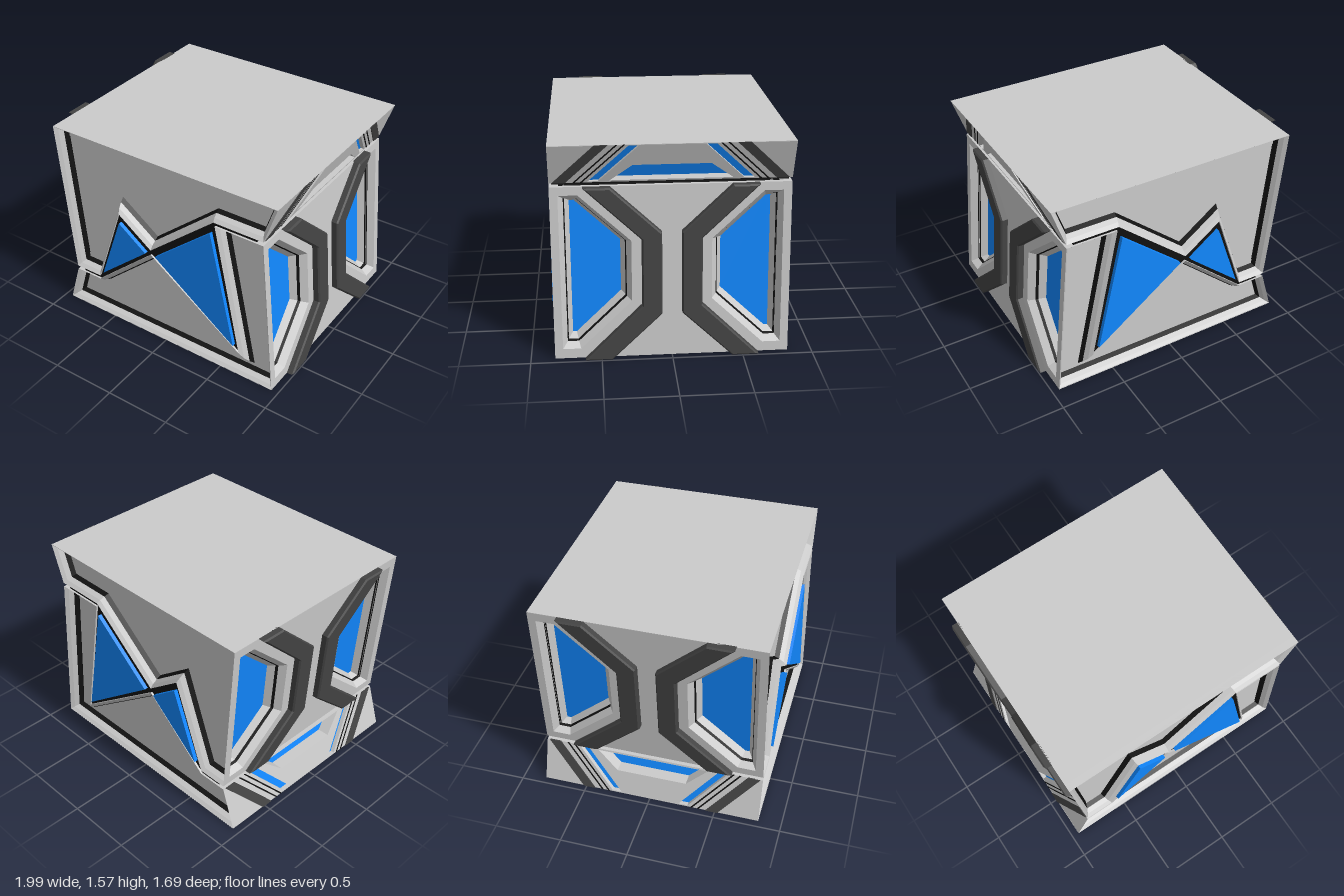
import * as THREE from 'three';

const material = (color) => new THREE.MeshStandardMaterial({ color, flatShading: true, side: THREE.DoubleSide });
const grey = material(0xcccccc);
const dark = material(0x444444);
const black = material(0x111111);
const blue = material(0x1188ff);

const HALF_DEPTH = 0.83, TOP = 1.57;

// Shift every edge of a counter-clockwise outline inwards, with mitred corners
function inset(poly, d) {
  const n = poly.length;
  return poly.map((p, i) => {
    const a = poly[(i + n - 1) % n], b = poly[(i + 1) % n];
    const normal = (s, e) => {
      const l = Math.hypot(e[0] - s[0], e[1] - s[1]);
      return [-(e[1] - s[1]) / l, (e[0] - s[0]) / l];
    };
    const m = normal(a, p), k = normal(p, b);
    const f = d / (1 + m[0] * k[0] + m[1] * k[1]);
    return [p[0] + (m[0] + k[0]) * f, p[1] + (m[1] + k[1]) * f];
  });
}

const mirror = (poly) => poly.map(([u, v]) => [-u, v]).reverse();
const toShape = (poly) => new THREE.Shape(poly.map(([u, v]) => new THREE.Vector2(u, v)));

// Moulding that follows an outline through [inset, height] steps
function moulding(poly, steps) {
  const loops = steps.map(([d, w]) => inset(poly, d).map(([u, v]) => [u, v, w]));
  const pos = [], n = poly.length;
  for (let s = 0; s + 1 < loops.length; s++) {
    for (let i = 0; i < n; i++) {
      const j = (i + 1) % n, a = loops[s], b = loops[s + 1];
      pos.push(...a[i], ...a[j], ...b[j], ...a[i], ...b[j], ...b[i]);
    }
  }
  const geo = new THREE.BufferGeometry();
  geo.setAttribute('position', new THREE.Float32BufferAttribute(pos, 3));
  return geo;
}

// Flat face filling an inset outline at a given height
const face = (poly, d, w) => new THREE.ShapeGeometry(toShape(inset(poly, d))).translate(0, 0, w);

function slab(poly, depth, w, holes = []) {
  const shape = toShape(poly);
  shape.holes = holes.map((h) => new THREE.Path(h.map(([u, v]) => new THREE.Vector2(u, v))));
  return new THREE.ExtrudeGeometry(shape, { depth, bevelEnabled: false }).translate(0, 0, w);
}

// Place a part with a matrix, turning its triangles round when mirrored
function add(group, name, source, mat, matrix = new THREE.Matrix4()) {
  const geo = source.index ? source.toNonIndexed() : source;
  geo.applyMatrix4(matrix);
  if (matrix.determinant() < 0) {
    const p = geo.attributes.position;
    const a = new THREE.Vector3(), b = new THREE.Vector3();
    for (let i = 0; i < p.count; i += 3) {
      a.fromBufferAttribute(p, i + 1);
      b.fromBufferAttribute(p, i + 2);
      p.setXYZ(i + 1, b.x, b.y, b.z);
      p.setXYZ(i + 2, a.x, a.y, a.z);
    }
  }
  geo.computeVertexNormals();
  const mesh = new THREE.Mesh(geo, mat);
  mesh.name = name;
  group.add(mesh);
}

// Front and back outlines
const upperPlate = [[-0.945, TOP], [-0.845, 0.35], [-0.62, 0.35], [-0.385, 1.02], [-0.105, 0.81],
  [0.45, 1.28], [0.845, 1.28], [0.945, TOP]];
const lowerPlate = [[-0.945, 0], [0.945, 0], [0.845, 1.25], [0.46, 1.25], [0.66, 0.21],
  [-0.105, 0.77], [-0.62, 0.32], [-0.845, 0.32]];
const smallWindow = [[-0.375, 0.95], [-0.57, 0.41], [-0.145, 0.775]];
const largeWindow = [[0.43, 1.19], [-0.055, 0.78], [0.62, 0.27]];
// Everything between the two plates, stopping short of the side walls
const gap = [[-0.788, 0.32], [-0.62, 0.32], [-0.105, 0.77], [0.66, 0.21], [0.46, 1.25], [0.788, 1.25],
  [0.788, 1.28], [0.45, 1.28], [-0.105, 0.81], [-0.385, 1.02], [-0.62, 0.35], [-0.788, 0.35]];

function buildEnd(sign) {
  const g = new THREE.Group();
  g.name = sign > 0 ? 'frontFace' : 'backFace';
  const m = new THREE.Matrix4().makeScale(1, 1, sign)
    .multiply(new THREE.Matrix4().makeTranslation(0, 0, HALF_DEPTH));
  for (const [name, poly] of [['upper', upperPlate], ['lower', lowerPlate]]) {
    add(g, name + 'Frame', moulding(poly, [[0, -0.055], [0, 0], [0.022, -0.025], [0.04, -0.06]]), grey, m);
    add(g, name + 'Groove', moulding(poly, [[0.04, -0.06], [0.055, -0.095]]), black, m);
    add(g, name + 'Panel', face(poly, 0.055, -0.095), grey, m);
  }
  add(g, 'smallWindow', slab(smallWindow, 0.045, -0.03), blue, m);
  add(g, 'largeWindow', slab(largeWindow, 0.045, -0.03), blue, m);
  return g;
}

// Side outlines, across the depth and up the wall
const WALL = 1.25, WEDGE = 0.29, EDGE = 0.778;
const rect = (h) => [[-EDGE, 0], [EDGE, 0], [EDGE, h], [-EDGE, h]];
const sideWindow = [[0.773, 0.07], [0.773, 1.19], [0.64, 1.19], [0.28, 0.857], [0.28, 0.417], [0.645, 0.07]];
const sideBand = [[0.425, 0], [0.615, 0], [0.21, 0.395], [0.21, 0.88], [0.605, WALL], [0.42, WALL],
  [0.07, 0.925], [0.07, 0.335]];
const wedgeWindow = [[-0.42, 0.012], [0.42, 0.012], [0.265, 0.13], [-0.265, 0.13]];
const stripe = (z0, z1, v0 = 0, v1 = WEDGE) =>
  [[z0 - v0, v0], [z1 - v0, v0], [z1 - v1, v1], [z0 - v1, v1]];

// Lay a flat side panel of height h along the sloping line from a to b
function wallMatrix(side, a, b, h) {
  return new THREE.Matrix4().set(
    0, (b[0] - a[0]) / h, side, a[0],
    0, (b[1] - a[1]) / h, 0, a[1],
    -1, 0, 0, 0,
    0, 0, 0, 1);
}

function buildSide(name, side, wall, wedge) {
  const g = new THREE.Group();
  g.name = name;
  const m = wallMatrix(side, ...wall, WALL);
  const k = wallMatrix(side, ...wedge, WEDGE);
  const both = (poly) => [poly, mirror(poly)];

  // Tall wall with two deep framed windows and two raised bands
  add(g, 'wall', slab(rect(WALL), 0.03, -0.03, both(sideWindow)), grey, m);
  for (const poly of both(sideWindow)) {
    add(g, 'windowOuterFrame', moulding(poly, [[0, 0], [0.034, -0.05]]), grey, m);
    add(g, 'windowGroove', moulding(poly, [[0.034, -0.05], [0.042, -0.07]]), black, m);
    add(g, 'windowInnerFrame', moulding(poly, [[0.042, -0.07], [0.073, -0.12]]), grey, m);
    add(g, 'sideWindow', face(poly, 0.072, -0.119), blue, m);
  }
  for (const poly of both(sideBand)) {
    add(g, 'raisedBand', moulding(poly, [[0, -0.01], [0, 0.042], [0.01, 0.053]]), dark, m);
    add(g, 'raisedBandFace', face(poly, 0.01, 0.053), dark, m);
  }

  // Short overhanging wedge with diagonal stripes and a recessed window
  const slot = stripe(0.505, 0.575, 0.008, 0.282);
  add(g, 'wedge', slab(rect(WEDGE), 0.03, -0.03, [wedgeWindow, ...both(slot)]), grey, k);
  add(g, 'wedgeRecess', moulding(wedgeWindow, [[0, 0], [0, -0.09]]), grey, k);
  add(g, 'wedgeWindow', face(wedgeWindow, 0, -0.09), blue, k);
  for (const poly of both(slot)) add(g, 'wedgeSlot', face(poly, 0, -0.03), blue, k);
  for (const poly of both(stripe(0.72, 0.81))) add(g, 'wedgeBand', slab(poly, 0.01, -0.004), dark, k);
  for (const z of [0.605, 0.655]) {
    for (const poly of both(stripe(z, z + 0.014))) add(g, 'wedgeLine', slab(poly, 0.006, -0.004), black, k);
  }
  return g;
}

export function createModel() {
  const model = new THREE.Group();
  model.name = 'crate';

  // Dark seam between the plates, also the backing of the triangular windows
  add(model, 'seam', slab(gap, 1.63, -0.815), black);

  // Lid and base
  for (const [name, y] of [['base', 0.002], ['lid', TOP - 0.002]]) {
    add(model, name, new THREE.BoxGeometry(1.89, 0.004, 2 * HALF_DEPTH - 0.002).translate(0, y, 0), grey);
  }

  model.add(buildEnd(1), buildEnd(-1));
  model.add(buildSide('leftSide', 1, [[0.945, 0], [0.845, 1.25]], [[0.845, 1.28], [0.945, TOP]]));
  model.add(buildSide('rightSide', -1, [[-0.945, TOP], [-0.845, 0.35]], [[-0.845, 0.32], [-0.945, 0]]));
  return model;
}
